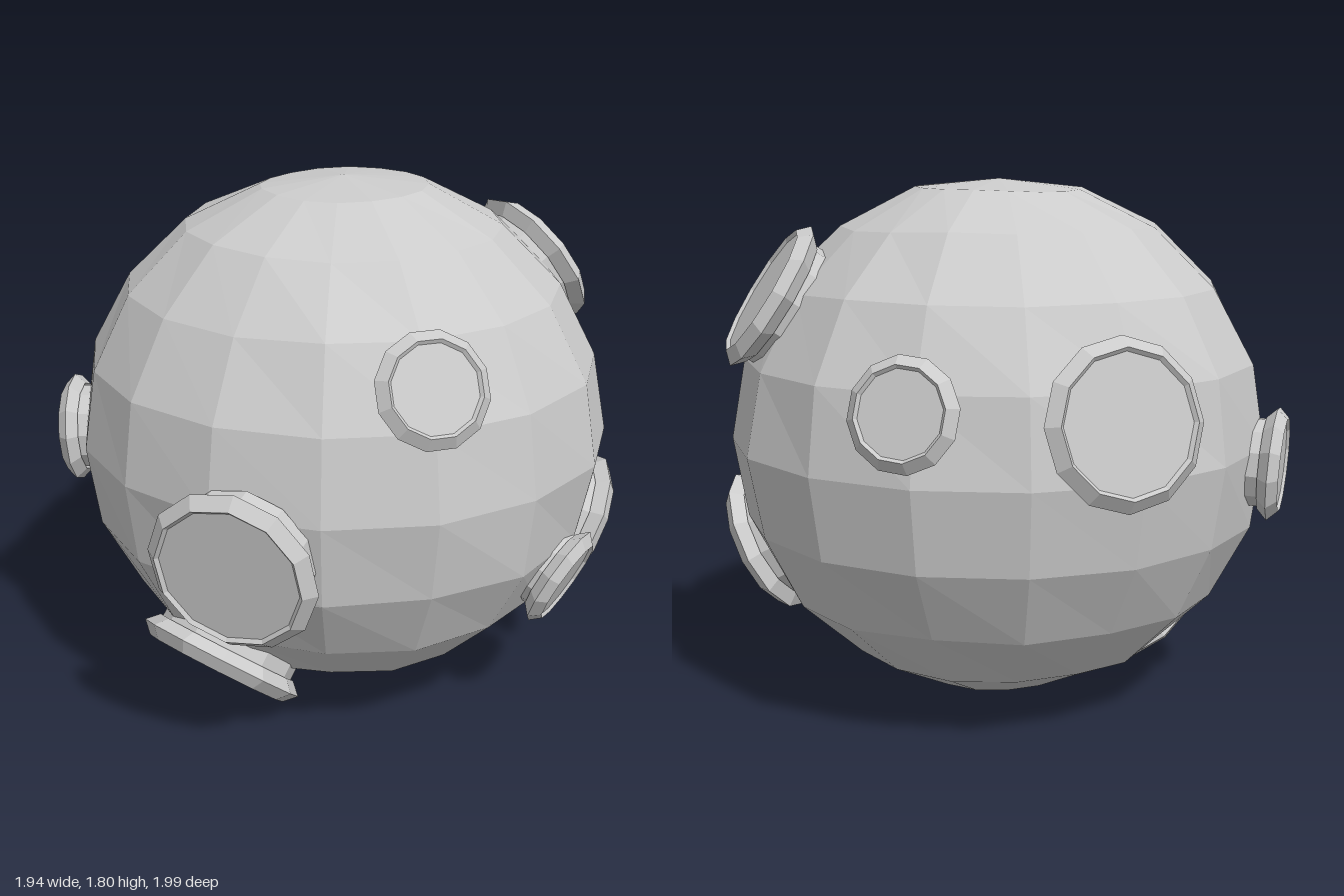
import * as THREE from 'three';

const material = new THREE.MeshStandardMaterial({ color: 0xcccccc, flatShading: true });
const CENTRE = new THREE.Vector3(0.01, 0.925, -0.05);

// Faceted ball with slightly uneven facets and flattened poles
function makeBall() {
  const geometry = new THREE.SphereGeometry(1, 16, 10);
  const pos = geometry.attributes.position;
  const v = new THREE.Vector3();
  for (let i = 0; i < pos.count; i++) {
    v.fromBufferAttribute(pos, i);
    const pole = Math.abs(v.y) > 0.999;
    const bump = pole ? -0.015 : 0.011 * Math.sin(7 * v.x + 4 * v.y) * Math.cos(6 * v.z - 3 * v.y);
    v.multiplyScalar(1 + bump);
    pos.setXYZ(i, v.x * 0.93, v.y * 0.9, v.z * 0.925);
  }
  const ball = new THREE.Mesh(geometry, material);
  ball.name = 'ball';
  ball.position.copy(CENTRE);
  return ball;
}

// Round port: a bevelled twelve-sided rim around a recessed flat plug, facing outwards
function makePort(x, y, z, radius) {
  const port = new THREE.Group();
  port.name = 'port';
  const t = 0.025 + radius * 0.05;
  const r = radius - t;

  const section = [[r, -t], [r + t, 0], [r, t], [r - t, 0], [r, -t]];
  const rim = new THREE.Mesh(
    new THREE.LatheGeometry(section.map(([a, b]) => new THREE.Vector2(a, b)), 12), material);
  rim.name = 'portRim';

  const plug = new THREE.Mesh(new THREE.CylinderGeometry(r - t * 0.25, r - t * 0.25, 0.13, 12), material);
  plug.name = 'portPlug';
  plug.position.y = t * 0.7 - 0.065;

  port.add(rim, plug);
  port.position.set(x, y, z);
  const outward = port.position.clone().sub(CENTRE).normalize();
  port.quaternion.setFromUnitVectors(new THREE.Vector3(0, 1, 0), outward);
  return port;
}

export function createModel() {
  const model = new THREE.Group();
  model.name = 'portedBall';
  model.add(makeBall());

  // Port centres and outer radii
  const ports = [
    [0.12, 0.78, 0.92, 0.285],
    [-0.17, 0.2, 0.53, 0.3],
    [-0.88, 0.87, 0.32, 0.195],
    [0.62, 1.34, 0.57, 0.185],
    [0.87, 0.53, 0.02, 0.185],
    [0.74, 0.5, -0.49, 0.27],
    [0.47, 1.43, -0.69, 0.27],
    [-0.32, 1.15, -0.9, 0.18],
    [-0.83, 1.12, -0.49, 0.265],
  ];
  for (const p of ports) model.add(makePort(...p));
  return model;
}
